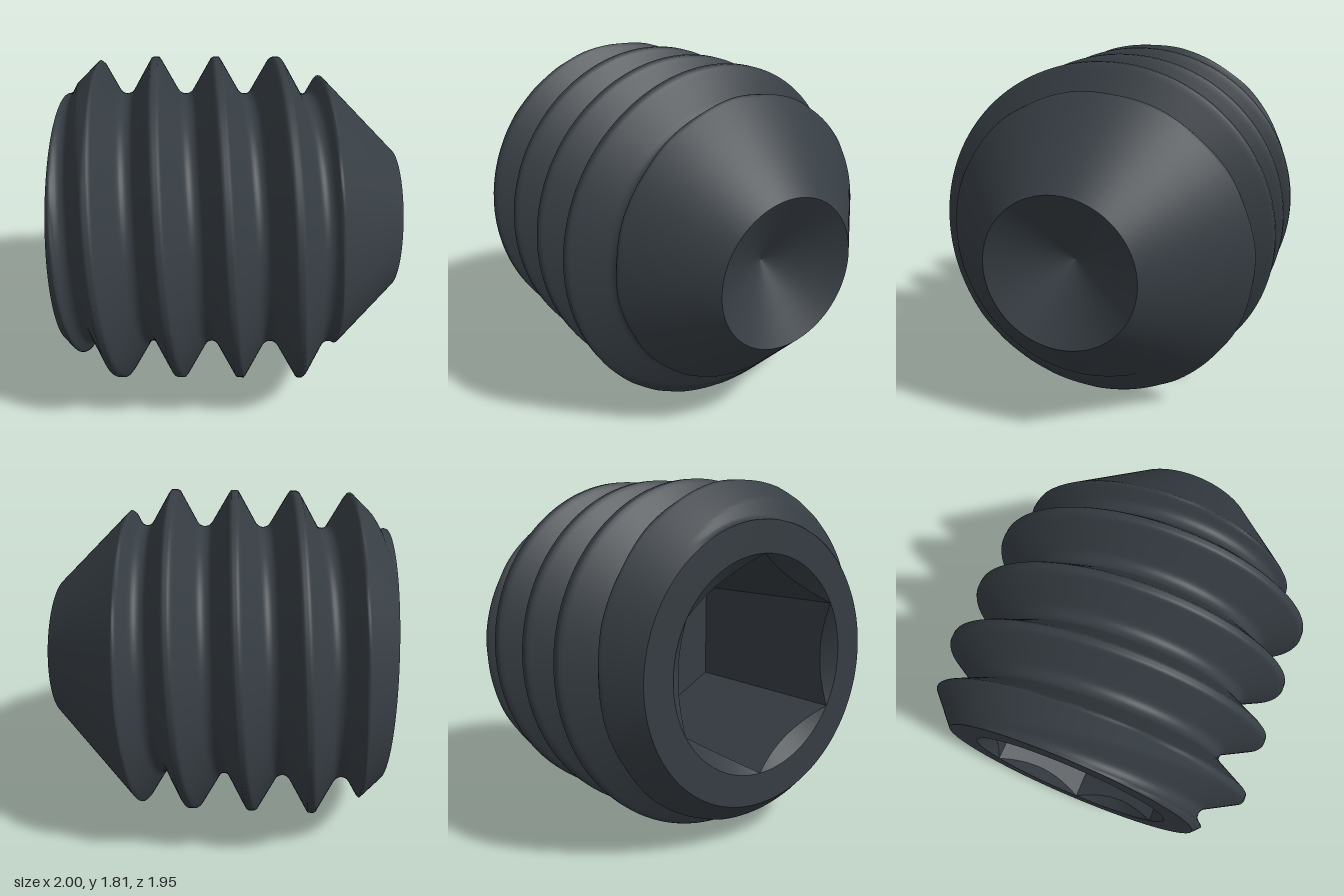
import * as THREE from 'three';

const COLS = 144, STEPS = 32;           // columns around the axis, rows per thread turn
const PITCH = 0.327, MAJOR = 0.905, MINOR = 0.705;
const BACK = -0.87, FRONT = 0.937;      // ends along the screw axis (local x)
const CUP_R = 0.39, CUP_DEPTH = 0.22;
const SOCKET_R = 0.545, SOCKET_DEPTH = 1.0;

// Point at distance r from the axis; angle 0 is the bottom, turning towards the back
const point = (t, r, a) => [t, -r * Math.cos(a), -r * Math.sin(a)];

// Radius of the rounded V thread, cut by the rear chamfer and the front cone
function threadRadius(t, a) {
  const crest = -0.203 + PITCH * a / (2 * Math.PI);
  const turns = (t - crest) / PITCH;
  const u = Math.abs(turns - Math.round(turns)) * PITCH;
  const fillet = 0.0485, v = PITCH / 2 - u;
  const thread = v < fillet * 0.866
    ? MINOR + fillet - Math.sqrt(fillet * fillet - v * v)
    : Math.min(MAJOR, MAJOR - 1.732 * (u - 0.02));
  return Math.min(thread, MINOR + (t - BACK) * 0.95, CUP_R + FRONT - t);
}

function makeGeometry(positions, index) {
  const g = new THREE.BufferGeometry();
  g.setAttribute('position', new THREE.Float32BufferAttribute(positions, 3));
  g.setIndex(index);
  return g;
}

// Threaded surface: rows follow the helix, so the last column joins the first one turn later
function threadGeometry() {
  const rows = Math.ceil((FRONT - BACK + PITCH) / PITCH * STEPS);
  const positions = [], index = [], ts = [];
  for (let i = 0; i < COLS; i++) {
    const a = i / COLS * Math.PI * 2;
    for (let j = 0; j <= rows; j++) {
      const raw = BACK - PITCH + (j / STEPS + i / COLS) * PITCH;
      const t = Math.min(FRONT, Math.max(BACK, raw));
      ts.push(t);
      positions.push(...point(t, threadRadius(t, a), a));
    }
  }
  const id = (i, j) => i < COLS
    ? i * (rows + 1) + j
    : Math.min(j + STEPS, rows);
  for (let i = 0; i < COLS; i++) {
    for (let j = 0; j < rows; j++) {
      const a = id(i, j), b = id(i + 1, j), c = id(i + 1, j + 1), d = id(i, j + 1);
      if (ts[b] !== ts[c]) index.push(b, c, d);
      if (ts[a] !== ts[d]) index.push(a, b, d);
    }
  }
  const g = makeGeometry(positions, index);
  g.computeVertexNormals();
  return g;
}

// Surface through rings; each ring is a function of the angle giving [axial, radius]
function loft(rings, flat) {
  const positions = [], index = [];
  for (const ring of rings) {
    for (let i = 0; i < COLS; i++) {
      const a = i / COLS * Math.PI * 2;
      positions.push(...point(...ring(a), a));
    }
  }
  for (let j = 0; j < rings.length - 1; j++) {
    for (let i = 0; i < COLS; i++) {
      const k = (i + 1) % COLS;
      const a = j * COLS + i, b = j * COLS + k, c = b + COLS, d = a + COLS;
      index.push(a, b, d, b, c, d);
    }
  }
  let g = makeGeometry(positions, index);
  if (flat) g = g.toNonIndexed();
  g.computeVertexNormals();
  return g;
}

// Hexagon outline with corners at top and bottom
const hexRadius = (a) => {
  const sixth = Math.PI / 3;
  const local = a - Math.floor(a / sixth + 1e-9) * sixth - sixth / 2;
  return SOCKET_R * Math.cos(sixth / 2) / Math.cos(local);
};

export function createModel() {
  const blackSteel = new THREE.MeshStandardMaterial({ color: 0x363d43 });
  blackSteel.name = 'blackSteel';

  const model = new THREE.Group();
  model.name = 'setScrew';
  const add = (name, geometry) => {
    const mesh = new THREE.Mesh(geometry, blackSteel);
    mesh.name = name;
    model.add(mesh);
  };

  add('threadedBody', threadGeometry());

  // Hex socket: floor, walls, scalloped countersink and the flat rear rim
  const floor = BACK + SOCKET_DEPTH;
  add('hexSocket', loft([
    () => [floor, 0],
    (a) => [floor, hexRadius(a)],
    (a) => [BACK + (SOCKET_R - hexRadius(a)) * 0.8, hexRadius(a)],
    () => [BACK, SOCKET_R],
    () => [BACK, MINOR],
  ], true));

  // Hollow conical cup in the point
  add('cupPoint', loft([
    () => [FRONT, CUP_R],
    () => [FRONT - CUP_DEPTH, 0],
  ], false));

  // The axis is turned slightly towards the front
  model.rotation.y = -0.2165;
  model.position.y = MAJOR;
  const root = new THREE.Group();
  root.name = 'screw';
  root.add(model);
  return root;
}
